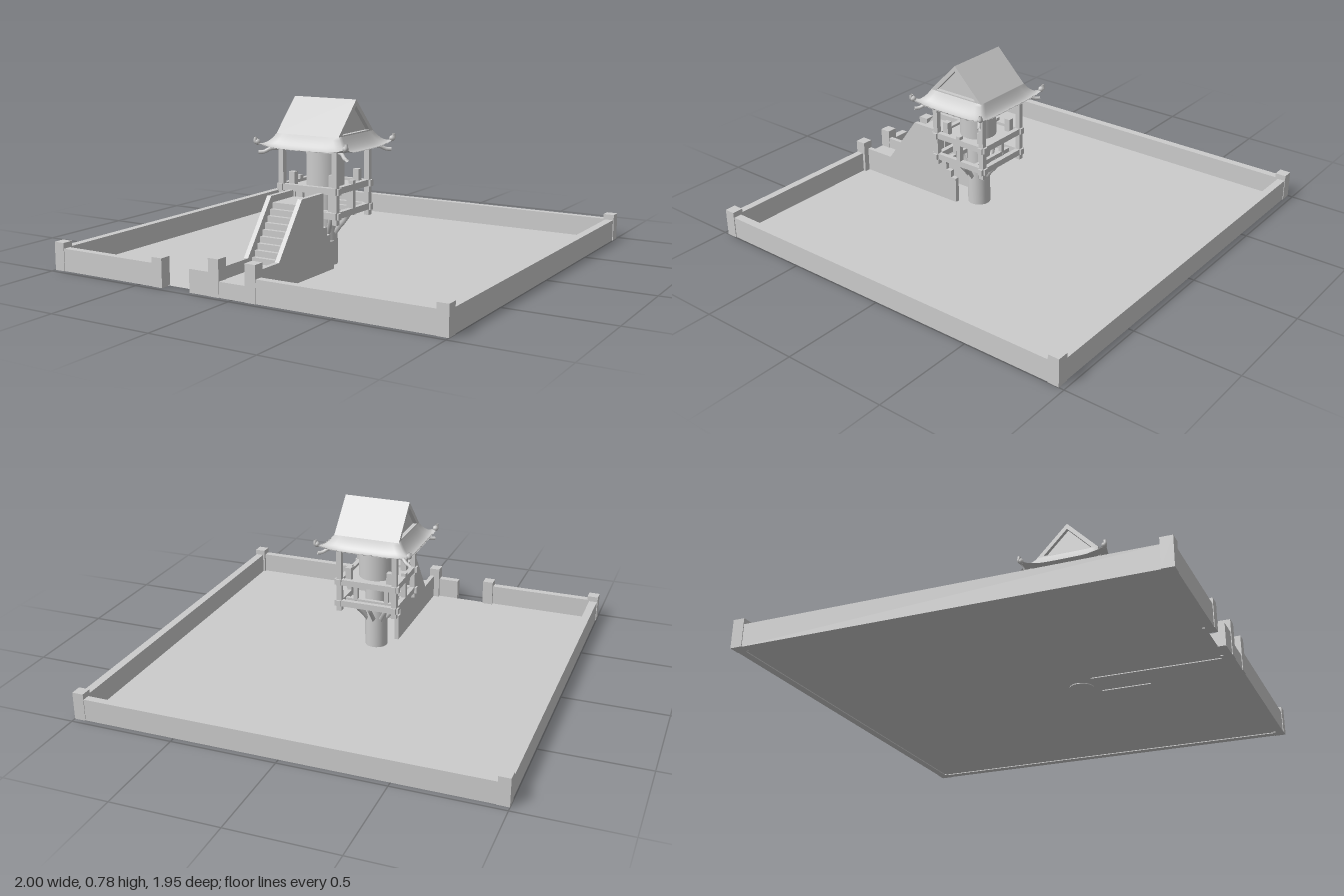
import * as THREE from 'three';

const mat = new THREE.MeshStandardMaterial({ color: 0xcccccc });
const thinMat = new THREE.MeshStandardMaterial({ color: 0xcccccc, side: THREE.DoubleSide });

function add(parent, name, geometry, material = mat) {
  const mesh = new THREE.Mesh(geometry, material);
  mesh.name = name;
  parent.add(mesh);
  return mesh;
}

// Box given by its min and max on each axis
function box(parent, name, x0, x1, y0, y1, z0, z1) {
  const g = new THREE.BoxGeometry(x1 - x0, y1 - y0, z1 - z0);
  g.translate((x0 + x1) / 2, (y0 + y1) / 2, (z0 + z1) / 2);
  return add(parent, name, g);
}

// Side profile of [z, y] points extruded along x, centred on x
function profile(parent, name, points, x, width, hole) {
  const shape = new THREE.Shape(points.map(p => new THREE.Vector2(...p)));
  if (hole) shape.holes.push(new THREE.Path(hole.map(p => new THREE.Vector2(...p))));
  const g = new THREE.ExtrudeGeometry(shape, { depth: width, bevelEnabled: false });
  g.translate(0, 0, -width / 2).rotateY(-Math.PI / 2).translate(x, 0, 0);
  return add(parent, name, g);
}

function tube(parent, name, points, radius, sides = 8) {
  const curve = new THREE.CatmullRomCurve3(points.map(p => new THREE.Vector3(...p)));
  return add(parent, name, new THREE.TubeGeometry(curve, 10, radius, sides), thinMat);
}

function makeCourtyard() {
  const g = new THREE.Group();
  g.name = 'courtyard';
  const ground = new THREE.PlaneGeometry(1.92, 1.87).rotateX(-Math.PI / 2).translate(0, 0.004, 0);
  add(g, 'ground', ground, thinMat);

  // Perimeter walls, with a gateway in the front
  const h = 0.105, zi = 0.935, zo = 0.972;
  for (const s of [-1, 1]) box(g, 'sideWall', s * 0.976 - 0.02, s * 0.976 + 0.02, 0, h, -zo, zo);
  box(g, 'backWall', -0.956, 0.956, 0, h, -zo, -zi);
  box(g, 'frontWallRight', -0.956, -0.374, 0, h, zi, zo);
  box(g, 'frontWallMiddle', -0.225, -0.07, 0, h, zi, zo);
  box(g, 'frontWallLeft', 0.07, 0.956, 0, h, zi, zo);

  // Corner and gate posts
  const post = (x, z, top) => box(g, 'wallPost', x - 0.027, x + 0.027, 0, top, z - 0.027, z + 0.027);
  for (const x of [-0.973, 0.973]) for (const z of [-0.948, 0.948]) post(x, z, 0.132);
  post(-0.4, 0.948, 0.132);
  for (const x of [-0.094, 0.094]) post(x, 0.948, 0.166);
  return g;
}

function makeStairs() {
  const g = new THREE.Group();
  g.name = 'stairs';
  box(g, 'path', -0.07, 0.07, 0, 0.07, 0.75, 0.972);
  const steps = 10;
  for (let i = 0; i < steps; i++) {
    const z = 0.75 - i * 0.02;
    box(g, 'step', -0.07, 0.07, 0, 0.07 + (i + 1) * 0.027, z - 0.02, z);
  }
  box(g, 'landing', -0.07, 0.07, 0.24, 0.34, 0.4, 0.55);

  // Side walls with a stepped foot at the back
  const outline = [[0.94, 0], [0.94, 0.125], [0.76, 0.125], [0.58, 0.37], [0.405, 0.37], [0.405, 0.21],
    [0.375, 0.21], [0.375, 0.17], [0.345, 0.17], [0.345, 0.135], [0.315, 0.135], [0.315, 0]];
  for (const s of [-1, 1]) profile(g, 'stairSideWall', outline, s * 0.081, 0.022);
  return g;
}

// Curved hip skirt: rings from the gable foot to the upturned eaves, then the soffit
function skirtGeometry() {
  const n = 10, levels = 8, count = n * 4, pos = [], idx = [];
  const corners = [[1, 1], [1, -1], [-1, -1], [-1, 1]];
  for (let l = 0; l <= levels + 1; l++) {
    const soffit = l > levels;
    const t = soffit ? 0 : l / levels;
    for (let k = 0; k < count; k++) {
      const a = corners[Math.floor(k / n)], b = corners[(Math.floor(k / n) + 1) % 4], f = (k % n) / n;
      const u = a[0] + (b[0] - a[0]) * f, v = a[1] + (b[1] - a[1]) * f;
      const c = Math.pow(Math.abs(2 * f - 1), 5);
      const grow = 0.014 * c * t;
      const y = soffit ? 0.552 : 0.628 - 0.07 * (1 - (1 - t) * (1 - t)) + 0.028 * c * t * t;
      pos.push(u * (0.163 + 0.068 * t + grow), y, v * (0.15 + 0.055 * t + grow));
    }
  }
  for (let l = 0; l <= levels; l++) for (let k = 0; k < count; k++) {
    const a = l * count + k, b = l * count + (k + 1) % count;
    idx.push(a, a + count, b, b, a + count, b + count);
  }
  const g = new THREE.BufferGeometry();
  g.setAttribute('position', new THREE.Float32BufferAttribute(pos, 3));
  g.setIndex(idx);
  g.computeVertexNormals();
  return g;
}

function makeRoof() {
  const g = new THREE.Group();
  g.name = 'roof';
  add(g, 'eaves', skirtGeometry(), thinMat);
  profile(g, 'gableRoof', [[-0.155, 0.623], [0.155, 0.623], [0, 0.78]], 0, 0.33,
    [[-0.12, 0.63], [0, 0.752], [0.12, 0.63]]);
  for (const s of [-1, 1]) profile(g, 'gableWall', [[-0.125, 0.628], [0.125, 0.628], [0, 0.755]], s * 0.14, 0.01);
  box(g, 'ceiling', -0.162, 0.162, 0.548, 0.558, -0.148, 0.148);

  // Curled finials and hooked rafter ends at the four corners
  for (const sx of [-1, 1]) for (const sz of [-1, 1]) {
    const p = (x, y, z) => [sx * x, y, sz * z];
    tube(g, 'rafterEnd', [p(0.14, 0.553, 0.13), p(0.19, 0.552, 0.165), p(0.215, 0.537, 0.185), p(0.236, 0.535, 0.2)], 0.009);
    tube(g, 'finial', [p(0.228, 0.575, 0.203), p(0.241, 0.585, 0.215), p(0.24, 0.607, 0.213)], 0.008);
    const knob = add(g, 'finialKnob', new THREE.SphereGeometry(0.014, 8, 6));
    knob.position.set(sx * 0.235, 0.585, sz * 0.208);
  }
  return g;
}

function makeTower() {
  const g = new THREE.Group();
  g.name = 'tower';
  g.position.z = 0.24;
  add(g, 'column', new THREE.CylinderGeometry(0.056, 0.056, 0.37, 20).translate(0, 0.185, 0));
  add(g, 'chamber', new THREE.CylinderGeometry(0.089, 0.089, 0.18, 28).translate(0, 0.465, 0));
  box(g, 'floor', -0.14, 0.14, 0.365, 0.38, -0.14, 0.14);

  // Corner posts and short blocks on the floor
  for (const x of [-1, 1]) for (const z of [-1, 1]) {
    box(g, 'cornerPost', x * 0.143 - 0.013, x * 0.143 + 0.013, 0.225, 0.555, z * 0.143 - 0.013, z * 0.143 + 0.013);
    box(g, 'floorBlock', x * 0.107 - 0.015, x * 0.107 + 0.015, 0.38, 0.445, z * 0.107 - 0.015, z * 0.107 + 0.015);
    box(g, 'innerPost', x * 0.08 - 0.01, x * 0.08 + 0.01, 0.25, 0.37, z * 0.08 - 0.01, z * 0.08 + 0.01);
  }

  // Two tiers of crossing beams whose ends pass the posts
  for (const y of [0.25, 0.362]) for (const s of [-0.143, 0.143]) {
    box(g, 'crossBeam', -0.166, 0.166, y, y + 0.03, s - 0.012, s + 0.012);
    box(g, 'sideBeam', s - 0.012, s + 0.012, y + 0.002, y + 0.032, -0.166, 0.166);
  }
  for (const s of [-1, 1]) {
    box(g, 'middlePost', s * 0.143 - 0.012, s * 0.143 + 0.012, 0.25, 0.41, -0.012, 0.012);
    box(g, 'floorJoist', -0.15, 0.15, 0.25, 0.272, s * 0.08 - 0.01, s * 0.08 + 0.01);
  }

  // Curved braces fanning out of the column
  for (let i = 0; i < 8; i++) {
    const brace = tube(g, 'brace', [[0.045, 0.15, 0], [0.075, 0.19, 0], [0.105, 0.225, 0], [0.118, 0.265, 0]], 0.013, 4);
    brace.rotation.y = i * Math.PI / 4;
  }
  g.add(makeRoof());
  return g;
}

export function createModel() {
  const model = new THREE.Group();
  model.name = 'walledCourtyardTower';
  model.add(makeCourtyard(), makeStairs(), makeTower());
  return model;
}
